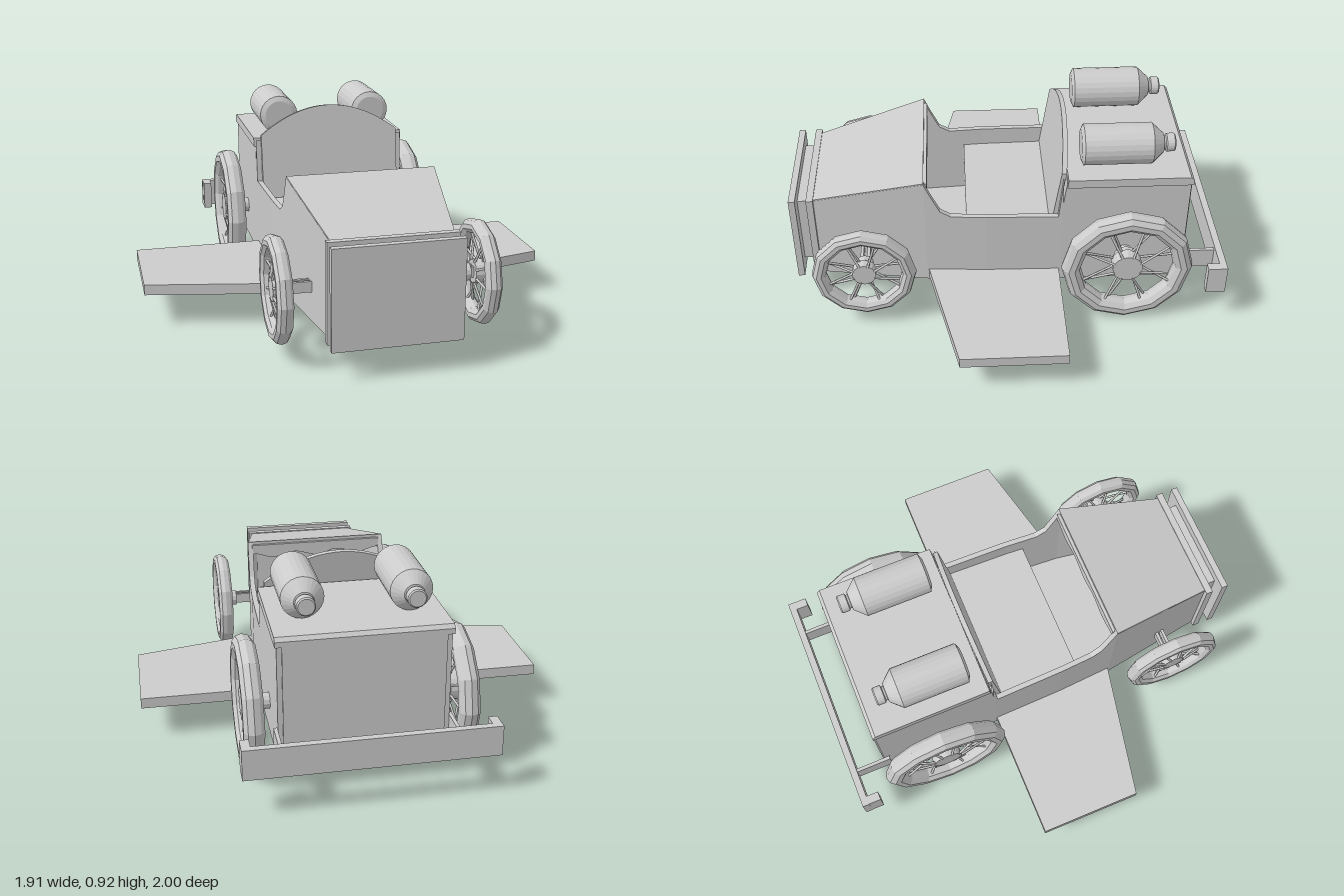
import * as THREE from 'three';

const XC = 0.025; // centre line of the car
const grey = new THREE.MeshStandardMaterial({ color: 0xcccccc, flatShading: true });
const smooth = new THREE.MeshStandardMaterial({ color: 0xcccccc });

// half width of the body along its length
function halfWidth(z) {
  const k = [[-0.83, 0.372], [-0.25, 0.37], [0.1, 0.362], [0.38, 0.345], [0.9, 0.265]];
  for (let i = 0; i < k.length - 1; i++) {
    if (z <= k[i + 1][0] || i === k.length - 2) {
      const t = (z - k[i][0]) / (k[i + 1][0] - k[i][0]);
      return k[i][1] + t * (k[i + 1][1] - k[i][1]);
    }
  }
}

export function createModel() {
  const model = new THREE.Group();
  const add = (name, geo, x = 0, y = 0, z = 0, parent = model, mat = grey) => {
    const m = new THREE.Mesh(geo, mat);
    m.name = name;
    m.position.set(x, y, z);
    parent.add(m);
    return m;
  };
  // box given by its limits
  const box = (name, x0, x1, y0, y1, z0, z1) =>
    add(name, new THREE.BoxGeometry(x1 - x0, y1 - y0, z1 - z0), (x0 + x1) / 2, (y0 + y1) / 2, (z0 + z1) / 2);
  // side profile of [z, y] points, spread between two rules for x
  const slab = (name, pts, xa, xb) => {
    const shape = new THREE.Shape(pts.map(([z, y]) => new THREE.Vector2(-z, y)));
    const geo = new THREE.ExtrudeGeometry(shape, { depth: 1, bevelEnabled: false });
    geo.rotateY(Math.PI / 2);
    const p = geo.attributes.position;
    for (let i = 0; i < p.count; i++) {
      const z = p.getZ(i);
      p.setX(i, XC + THREE.MathUtils.lerp(xa(z), xb(z), p.getX(i)));
    }
    geo.computeVertexNormals();
    return add(name, geo);
  };
  const full = (name, pts, inset = 0) =>
    slab(name, pts, z => inset - halfWidth(z), z => halfWidth(z) - inset);

  // body sides, in sections that follow the taper
  const sections = [
    [[0.89, 0.15], [0.38, 0.15], [0.38, 0.715], [0.89, 0.58]],
    [[0.38, 0.15], [0.1, 0.15], [0.1, 0.53], [0.26, 0.53], [0.31, 0.56], [0.35, 0.645], [0.38, 0.715]],
    [[0.1, 0.15], [-0.25, 0.15], [-0.25, 0.73], [-0.23, 0.525], [0.1, 0.53]],
  ];
  for (const pts of sections) {
    slab('bodySideLeft', pts, z => halfWidth(z) - 0.025, z => halfWidth(z));
    slab('bodySideRight', pts, z => -halfWidth(z), z => 0.025 - halfWidth(z));
  }
  // floor, bonnet, cockpit
  for (const [a, b] of [[0.89, 0.38], [0.38, 0.1], [0.1, -0.25]])
    full('floor', [[a, 0.15], [b, 0.15], [b, 0.175], [a, 0.175]], 0.002);
  full('bonnet', [[0.89, 0.555], [0.89, 0.585], [0.38, 0.72], [0.38, 0.69]], 0.001);
  full('bodyFront', [[0.89, 0.15], [0.87, 0.15], [0.87, 0.58], [0.89, 0.58]], 0.002);
  full('seat', [[0.19, 0.17], [-0.25, 0.17], [-0.25, 0.44], [0.19, 0.44]], 0.02);

  // dashboard with a scalloped lower edge
  const dash = new THREE.Shape();
  dash.moveTo(-0.325, 0.705);
  for (let i = 0; i <= 24; i++) {
    const t = i / 24;
    dash.lineTo(-0.325 + 0.65 * t, 0.65 + 0.012 * Math.cos(t * Math.PI * 6));
  }
  dash.lineTo(0.325, 0.705);
  add('dashboard', new THREE.ExtrudeGeometry(dash, { depth: 0.02, bevelEnabled: false }), XC, 0, 0.365);

  // arched seat back, leaning rearward
  const back = new THREE.Shape();
  back.moveTo(-0.345, 0);
  back.lineTo(0.345, 0);
  for (let i = 0; i <= 20; i++) {
    const t = 1 - i / 10;
    back.lineTo(0.345 * t, 0.45 - 0.135 * t * t);
  }
  add('seatBack', new THREE.ExtrudeGeometry(back, { depth: 0.022, bevelEnabled: false }), XC, 0.44, -0.218)
    .rotation.x = -0.145;

  // rear box and lid
  full('rearBox', [[-0.25, 0.15], [-0.825, 0.15], [-0.825, 0.72], [-0.265, 0.72], [-0.25, 0.6]]);
  full('rearLid', [[-0.265, 0.695], [-0.835, 0.695], [-0.835, 0.72], [-0.82, 0.737], [-0.27, 0.737]], -0.008);
  box('rearPanel', XC - 0.35, XC + 0.35, 0.17, 0.695, -0.833, -0.82);

  // radiator
  box('radiatorBackPlate', XC - 0.287, XC + 0.283, 0.14, 0.59, 0.888, 0.92);
  box('radiatorCore', XC - 0.225, XC + 0.215, 0.195, 0.54, 0.915, 0.975);
  box('radiatorFrontPlate', XC - 0.287, XC + 0.283, 0.14, 0.59, 0.97, 1.0);

  // rear bumper
  box('bumper', -0.535, 0.57, 0.19, 0.33, -1.0, -0.968);
  for (const s of [-1, 1]) {
    const x = 0.018 + s * 0.532;
    box('bumperEnd', x - 0.02, x + 0.02, 0.19, 0.33, -0.975, -0.91);
    const a = XC + s * 0.38;
    box('bumperArm', a - 0.008, a + 0.008, 0.21, 0.31, -0.97, -0.8);
  }

  // side wings
  for (const s of [-1, 1]) {
    const tip = s * 0.956, root = XC + s * 0.335;
    const pts = [[root, 0.24], [tip, 0.24], [tip, -0.24], [root, -0.375]];
    const shape = new THREE.Shape(pts.map(p => new THREE.Vector2(...p)));
    const geo = new THREE.ExtrudeGeometry(shape, { depth: 0.05, bevelEnabled: false });
    geo.rotateX(-Math.PI / 2);
    add(s > 0 ? 'wingLeft' : 'wingRight', geo, 0, 0.16, 0);
  }

  // gas bottles on the lid
  const profile = [[0, 0], [0.07, 0], [0.094, 0.012], [0.094, 0.32], [0.045, 0.372], [0.033, 0.374],
    [0.033, 0.382], [0.042, 0.386], [0.042, 0.42], [0.036, 0.426], [0, 0.426]];
  for (const s of [-1, 1]) {
    const geo = new THREE.LatheGeometry(profile.map(p => new THREE.Vector2(...p)), 24);
    add('bottle', geo.rotateX(-Math.PI / 2), XC + s * 0.235, 0.832, -0.333);
  }

  // wheels with crossed wire spokes
  const wheel = (name, x, z, r, tube, half, hubR) => {
    const g = new THREE.Group();
    g.name = name;
    g.position.set(x, 0.308, z);
    model.add(g);
    const tyre = new THREE.TorusGeometry(r - tube, tube, 10, 12);
    tyre.scale(1, 1, half / tube).rotateY(Math.PI / 2);
    add('tyre', tyre, 0, 0, 0, g);
    add('hub', new THREE.CylinderGeometry(hubR, hubR, half * 1.2, 16).rotateZ(Math.PI / 2), 0, 0, 0, g);
    const up = new THREE.Vector3(0, 1, 0);
    for (let i = 0; i < 8; i++) {
      for (const s of [-1, 1]) {
        const a = (i + 0.5) * Math.PI / 4, b = a + s * 0.05;
        const p = new THREE.Vector3(s * half * 0.55, Math.cos(a) * hubR * 0.9, Math.sin(a) * hubR * 0.9);
        const q = new THREE.Vector3(-s * half * 0.3, Math.cos(b), Math.sin(b));
        q.y *= r - 1.8 * tube;
        q.z *= r - 1.8 * tube;
        const d = q.clone().sub(p);
        const spoke = add('spoke', new THREE.CylinderGeometry(0.006, 0.006, d.length(), 6), 0, 0, 0, g, smooth);
        spoke.position.copy(p).addScaledVector(d, 0.5);
        spoke.quaternion.setFromUnitVectors(up, d.normalize());
      }
    }
  };
  for (const s of [-1, 1]) {
    const side = s > 0 ? 'Left' : 'Right';
    wheel('frontWheel' + side, XC + 0.005 + s * 0.455, 0.665, 0.24, 0.034, 0.037, 0.055);
    wheel('rearWheel' + side, XC + s * 0.47, -0.545, 0.305, 0.045, 0.048, 0.07);
    // stepped outer ends of the rear axle
    const cone = new THREE.CylinderGeometry(0.055, 0.055, 0.03, 12).rotateZ(Math.PI / 2);
    add('rearAxleCollar', cone, XC + s * 0.418, 0.308, -0.545);
    const cap = new THREE.CylinderGeometry(0.04, 0.04, 0.03, 12).rotateZ(Math.PI / 2);
    add('frontAxleCollar', cap, XC + s * 0.405, 0.308, 0.665);
  }

  // axles
  for (const z of [0.648, 0.678])
    box('frontAxle', XC - 0.44, XC + 0.45, 0.285, 0.335, z - 0.007, z + 0.007);
  add('rearAxle', new THREE.CylinderGeometry(0.037, 0.037, 0.92, 12).rotateZ(Math.PI / 2), XC, 0.308, -0.545);

  return model;
}
